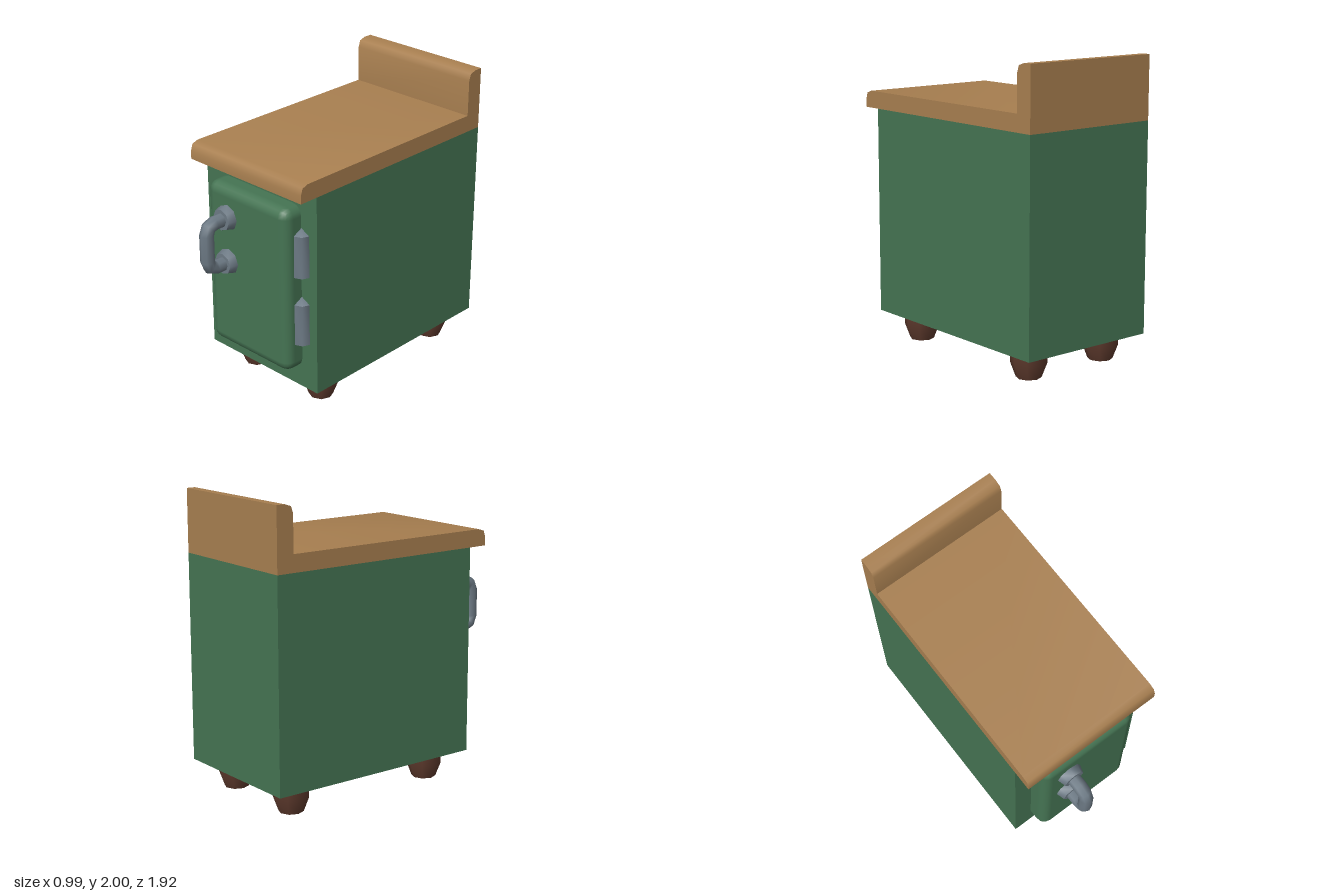
import * as THREE from 'three';
import { toCreasedNormals } from 'three/addons/utils/BufferGeometryUtils.js';
import { RoundedBoxGeometry } from 'three/addons/geometries/RoundedBoxGeometry.js';

const material = (name, color) => {
  const m = new THREE.MeshStandardMaterial({ color });
  m.name = name;
  return m;
};

// Eight-sided turned part from [radius, height] pairs, bottom to top
const turned = (pairs) =>
  toCreasedNormals(new THREE.LatheGeometry(pairs.map(([r, y]) => new THREE.Vector2(r, y)), 8), 0.9);

// Curve that passes straight through its points, one tube ring per point
class PolyCurve extends THREE.Curve {
  constructor(points) {
    super();
    this.points = points;
  }
  getUtoTmapping(u) {
    return u;
  }
  getPoint(t, target = new THREE.Vector3()) {
    const f = t * (this.points.length - 1);
    const i = Math.min(Math.floor(f), this.points.length - 2);
    return target.lerpVectors(this.points[i], this.points[i + 1], f - i);
  }
}

export function createModel() {
  const model = new THREE.Group();
  model.name = 'cabinet';
  const green = material('green paint', 0x457453);
  const wood = material('light wood', 0xa87f50);
  const steel = material('grey metal', 0x6d7a85);
  const brown = material('dark wood', 0x5e3a2d);

  const add = (name, geometry, mat, x = 0, y = 0, z = 0) => {
    const mesh = new THREE.Mesh(geometry, mat);
    mesh.name = name;
    mesh.position.set(x, y, z);
    model.add(mesh);
    return mesh;
  };

  // Cabinet body
  add('body', new THREE.BoxGeometry(0.99, 1.4, 1.56), green, 0, 0.88, -0.18);

  // Worktop and splashback: one side profile (z, y) swept across the width
  const profile = new THREE.Shape();
  profile.moveTo(-0.96, 1.58);
  profile.lineTo(0.735, 1.58);
  profile.lineTo(0.735, 1.635);
  profile.quadraticCurveTo(0.735, 1.695, 0.675, 1.695);
  profile.lineTo(-0.84, 1.695);
  profile.lineTo(-0.84, 1.94);
  profile.quadraticCurveTo(-0.84, 2, -0.9, 2);
  profile.lineTo(-0.96, 2);
  const top = new THREE.ExtrudeGeometry(profile, { depth: 0.99, bevelEnabled: false, curveSegments: 2 });
  top.translate(0, 0, -0.495).rotateY(-Math.PI / 2);
  add('worktop', toCreasedNormals(top, 1), wood);

  // Door, sunk halfway into the body
  add('door', new RoundedBoxGeometry(0.725, 1.16, 0.27, 2, 0.07), green, -0.002, 0.9, 0.6);

  // Hinges with pointed ends
  const hinge = turned([[0, -0.18], [0.068, -0.145], [0.068, 0.145], [0, 0.18]]);
  for (const y of [1.15, 0.665]) add('hinge', hinge, steel, 0.362, y, 0.598);

  // Handle mounts
  const mount = turned([[0.088, 0], [0.072, 0.055], [0, 0.055]]).rotateX(Math.PI / 2);
  for (const y of [1.272, 0.96]) add('handleMount', mount, steel, -0.168, y, 0.735);

  // Handle bar: upper half mirrored to the lower half
  const half = [[0.74, 0.156], [0.852, 0.156], [0.897, 0.138], [0.915, 0.092]];
  const path = [...half, ...half.map(([z, y]) => [z, -y]).reverse()]
    .map(([z, y]) => new THREE.Vector3(0, y, z));
  const bar = new THREE.TubeGeometry(new PolyCurve(path), path.length - 1, 0.047, 8);
  add('handle', bar, steel, -0.168, 1.116, 0);

  // Feet
  const foot = turned([[0, 0], [0.082, 0], [0.118, 0.095], [0.118, 0.18]]);
  for (const x of [-0.31, 0.31])
    for (const z of [0.375, -0.745]) add('foot', foot, brown, x, 0, z);

  return model;
}
